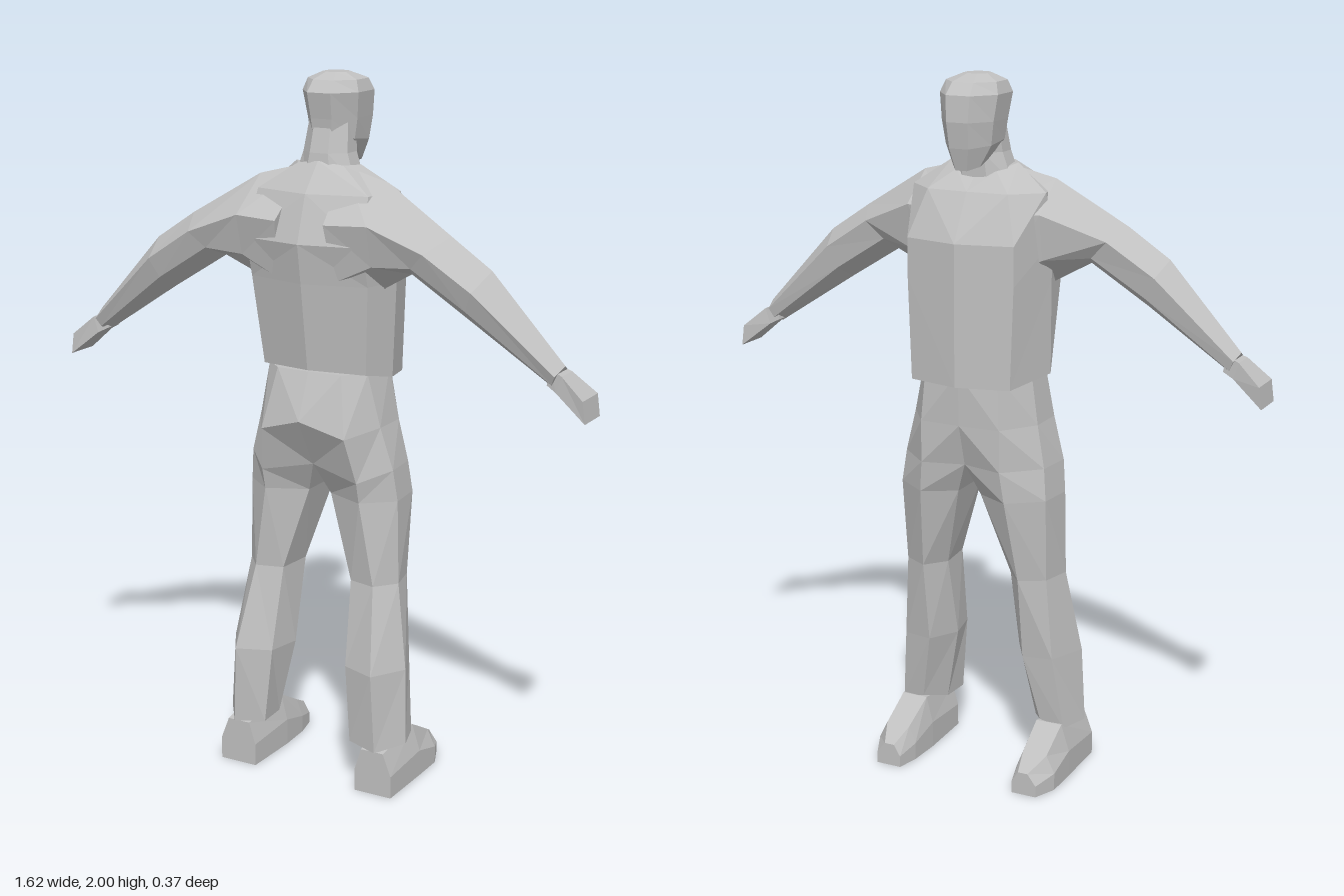
import * as THREE from 'three';

// Skin a stack of equal-length rings of [x, y, z] points, with capped ends and outward faces.
function loft(rings) {
  const tris = [];
  const n = rings[0].length;
  for (let r = 0; r < rings.length - 1; r++) {
    for (let i = 0; i < n; i++) {
      const j = (i + 1) % n;
      const a = rings[r][i], b = rings[r][j], c = rings[r + 1][j], d = rings[r + 1][i];
      tris.push([a, b, c], [a, c, d]);
    }
  }
  const first = rings[0], last = rings[rings.length - 1];
  for (let i = 1; i < n - 1; i++) {
    tris.push([first[0], first[i + 1], first[i]], [last[0], last[i], last[i + 1]]);
  }
  // A negative signed volume means the faces point inward
  const v = (p) => new THREE.Vector3(...p);
  let volume = 0;
  for (const [a, b, c] of tris) volume += v(a).dot(v(b).cross(v(c)));
  if (volume < 0) tris.forEach((t) => t.reverse());
  const geometry = new THREE.BufferGeometry();
  geometry.setAttribute('position', new THREE.Float32BufferAttribute(tris.flat(2), 3));
  geometry.computeVertexNormals();
  return geometry;
}

// Horizontal ring from [x, z, optional y offset] points
const level = (y, points) => points.map(([x, z, dy = 0]) => [x, y + dy, z]);

// Octagonal ring for the head and neck; tilt raises the back relative to the front
function octagon(y, halfWidth, front, back, tilt = 0) {
  const ring = [];
  const mid = (front + back) / 2, depth = (back - front) / 2;
  for (let i = 0; i < 8; i++) {
    const a = ((i + 0.5) * Math.PI) / 4;
    const c = Math.cos(a) / Math.cos(Math.PI / 8), s = Math.sin(a) / Math.cos(Math.PI / 8);
    ring.push([c * halfWidth, y + tilt * s, mid + s * depth]);
  }
  return ring;
}

export function createModel() {
  const group = new THREE.Group();
  const grey = new THREE.MeshStandardMaterial({ color: 0xc0c0c0, flatShading: true });
  grey.name = 'plain grey';

  const add = (name, rings, side = 1) => {
    const placed = rings.map((ring) => ring.map(([x, y, z]) => [x * side, y, z]));
    const mesh = new THREE.Mesh(loft(placed), grey);
    mesh.name = name;
    group.add(mesh);
  };

  // Half of the jacket, from hem to collar
  const jacket = [
    level(1.165, [[0, -0.18], [0.15, -0.145], [0.2, 0.01, 0.02], [0.16, 0.09, 0.035], [0, 0.13, 0.04]]),
    level(1.45, [[0, -0.18], [0.16, -0.145], [0.205, 0], [0.18, 0.12], [0, 0.165]]),
    level(1.56, [[0, -0.18], [0.16, -0.145], [0.21, 0], [0.18, 0.15], [0, 0.183]]),
    level(1.69, [[0, -0.105], [0.12, -0.1], [0.2, -0.03], [0.17, 0.1], [0, 0.14]]),
    level(1.76, [[0, -0.05, -0.03], [0.06, -0.045, -0.02], [0.1, 0.01], [0.07, 0.055], [0, 0.07, 0.01]]),
  ];

  // Half of the pelvis and one trouser leg
  const trouserLeg = [
    level(1.2, [[0, -0.16], [0.11, -0.14], [0.165, -0.04], [0.155, 0.07], [0.1, 0.12], [0, 0.125]]),
    level(1.05, [[0, -0.155], [0.12, -0.15], [0.19, -0.05], [0.19, 0.06], [0.13, 0.16, -0.02], [0, 0.18, 0.02]]),
    level(0.93, [[0, -0.12], [0.12, -0.15], [0.215, -0.06], [0.225, 0.05], [0.15, 0.125, -0.03], [0, 0.1]]),
    level(0.84, [[0.035, -0.09], [0.13, -0.14], [0.225, -0.07], [0.235, 0.04], [0.15, 0.11], [0.035, 0.06]]),
    level(0.6, [[0.1, -0.03], [0.15, -0.09], [0.22, -0.05], [0.24, 0.04], [0.19, 0.1], [0.11, 0.08]]),
    level(0.36, [[0.1, 0.03], [0.15, -0.055], [0.235, -0.04], [0.28, 0.07], [0.22, 0.168], [0.12, 0.13]]),
    level(0.14, [[0.145, 0.05], [0.19, -0.02, 0.02], [0.26, -0.01], [0.288, 0.08], [0.23, 0.162, -0.01], [0.14, 0.14]]),
  ];

  // Sleeve stations: top x, top y, bottom x, bottom y, front z, back z
  const sleeve = [
    [0.06, 1.755, 0.1, 1.36, -0.1, 0.175],
    [0.2, 1.72, 0.2, 1.44, -0.07, 0.168],
    [0.4, 1.6, 0.29, 1.49, -0.01, 0.162],
    [0.52, 1.52, 0.46, 1.385, 0, 0.155],
    [0.73, 1.29, 0.7, 1.23, 0.025, 0.112],
  ].map(([tx, ty, bx, by, front, back]) =>
    // Each point: share of the way down, share of the way back
    [[0, 0.45], [0.35, 1], [0.75, 0.88], [1, 0.5], [0.75, 0.08], [0.3, 0]].map(([t, u]) =>
      [tx + (bx - tx) * t, ty + (by - ty) * t, front + (back - front) * u]));

  const hand = [
    [[0.7, 1.285, 0.035], [0.7, 1.285, 0.09], [0.69, 1.24, 0.09], [0.69, 1.24, 0.035]],
    [[0.735, 1.27, 0.03], [0.735, 1.27, 0.1], [0.72, 1.225, 0.1], [0.72, 1.225, 0.03]],
    [[0.8, 1.215, 0.01], [0.8, 1.215, 0.113], [0.808, 1.155, 0.113], [0.808, 1.155, 0.01]],
  ];

  // Shoe stations from heel to toe: z, inner x, outer x, height
  const shoe = [
    [0.155, 0.165, 0.28, 0.13],
    [-0.02, 0.16, 0.283, 0.155],
    [-0.12, 0.165, 0.283, 0.1],
    [-0.187, 0.18, 0.255, 0.066],
  ].map(([z, a, b, h]) => [
    [a, 0, z], [b, 0, z], [b, h * 0.5, z],
    [b - 0.025, h, z], [a + 0.02, h, z], [a, h * 0.5, z],
  ]);

  for (const [word, side] of [['left', 1], ['right', -1]]) {
    add(word + 'Jacket', jacket, side);
    add(word + 'Sleeve', sleeve, side);
    add(word + 'Hand', hand, side);
    add(word + 'TrouserLeg', trouserLeg, side);
    add(word + 'Shoe', shoe, side);
  }

  // Neck and head, with the face toward -z
  add('neck', [
    octagon(1.71, 0.095, -0.06, 0.075),
    octagon(1.79, 0.068, -0.06, 0.065),
    octagon(1.87, 0.06, -0.07, 0.045),
  ]);
  add('head', [
    octagon(1.765, 0.04, -0.135, -0.03, 0.015),
    octagon(1.82, 0.068, -0.15, 0.045, 0.01),
    octagon(1.88, 0.077, -0.16, 0.052),
    octagon(1.95, 0.086, -0.155, 0.066),
    octagon(1.982, 0.075, -0.125, 0.04),
    octagon(2.0, 0.035, -0.07, 0),
  ]);

  return group;
}
